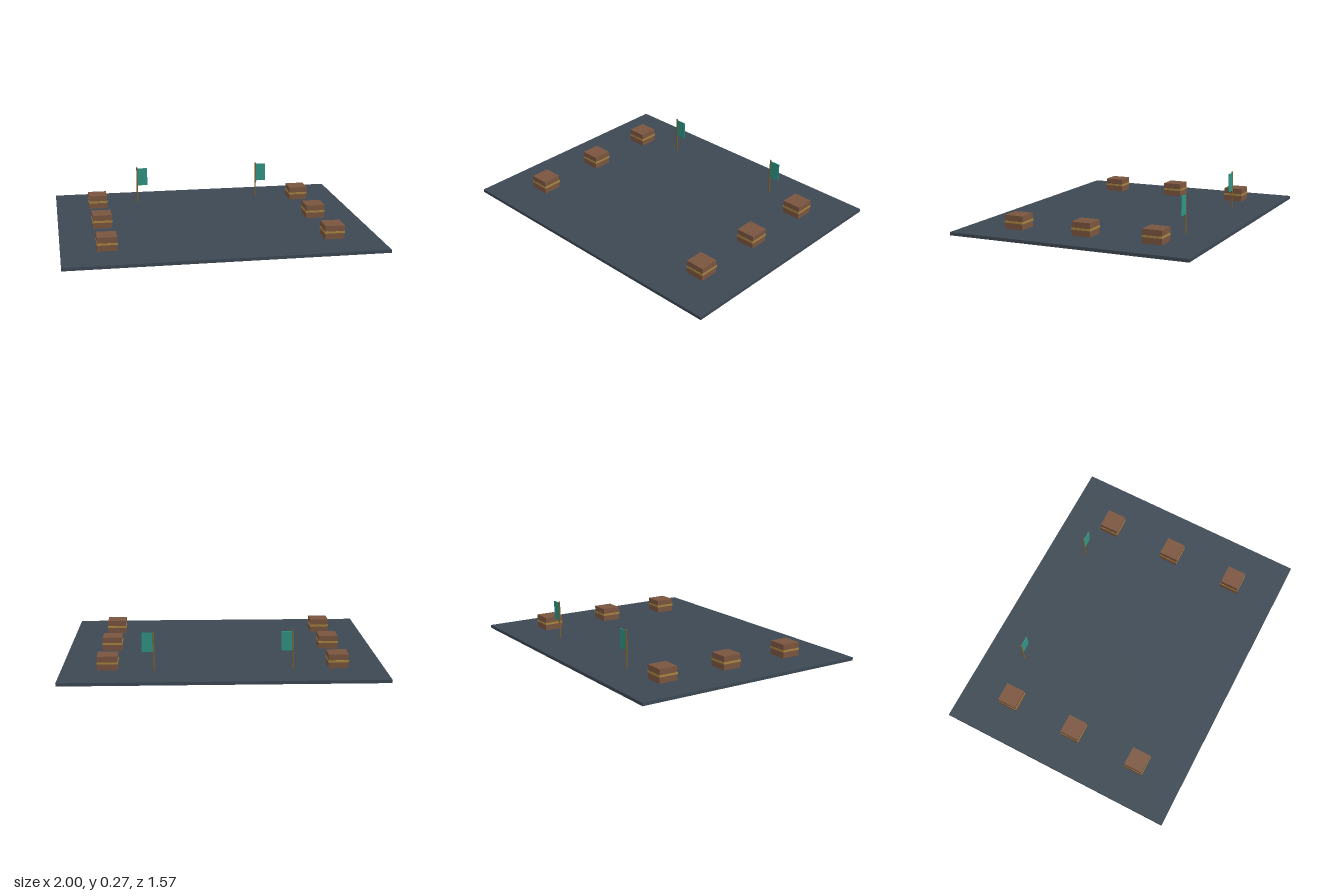
import * as THREE from 'three';

const material = (color) => new THREE.MeshStandardMaterial({ color });

export function createModel() {
  const model = new THREE.Group();
  const slate = material(0x3d4853);
  const wood = material(0x7a553f);
  const brass = material(0xa8843f);
  const pole = material(0x80602c);
  const teal = material(0x2f9484);

  function box(parent, name, size, position, mat) {
    const mesh = new THREE.Mesh(new THREE.BoxGeometry(...size), mat);
    mesh.name = name;
    mesh.position.set(...position);
    parent.add(mesh);
  }

  // Floor slab
  const top = 0.02;
  box(model, 'floor', [2, top, 1.57], [0, top / 2, 0], slate);

  // Two rows of three banded crates
  for (const x of [-0.715, 0.715]) {
    for (const z of [-0.465, 0, 0.465]) {
      const crate = new THREE.Group();
      crate.name = 'crate';
      crate.position.set(x, top, z);
      box(crate, 'crateBody', [0.125, 0.088, 0.125], [0, 0.044, 0], wood);
      box(crate, 'crateBand', [0.129, 0.013, 0.129], [0, 0.045, 0], brass);
      model.add(crate);
    }
  }

  // Two flags near the back edge, both flying toward +x
  for (const x of [-0.428, 0.428]) {
    const flag = new THREE.Group();
    flag.name = 'flag';
    flag.position.set(x, top, -0.535);
    const mast = new THREE.Mesh(new THREE.CylinderGeometry(0.005, 0.005, 0.25, 8), pole);
    mast.name = 'flagPole';
    mast.position.y = 0.125;
    flag.add(mast);
    box(flag, 'flagCloth', [0.07, 0.123, 0.005], [0.037, 0.18, 0], teal);
    model.add(flag);
  }

  return model;
}
